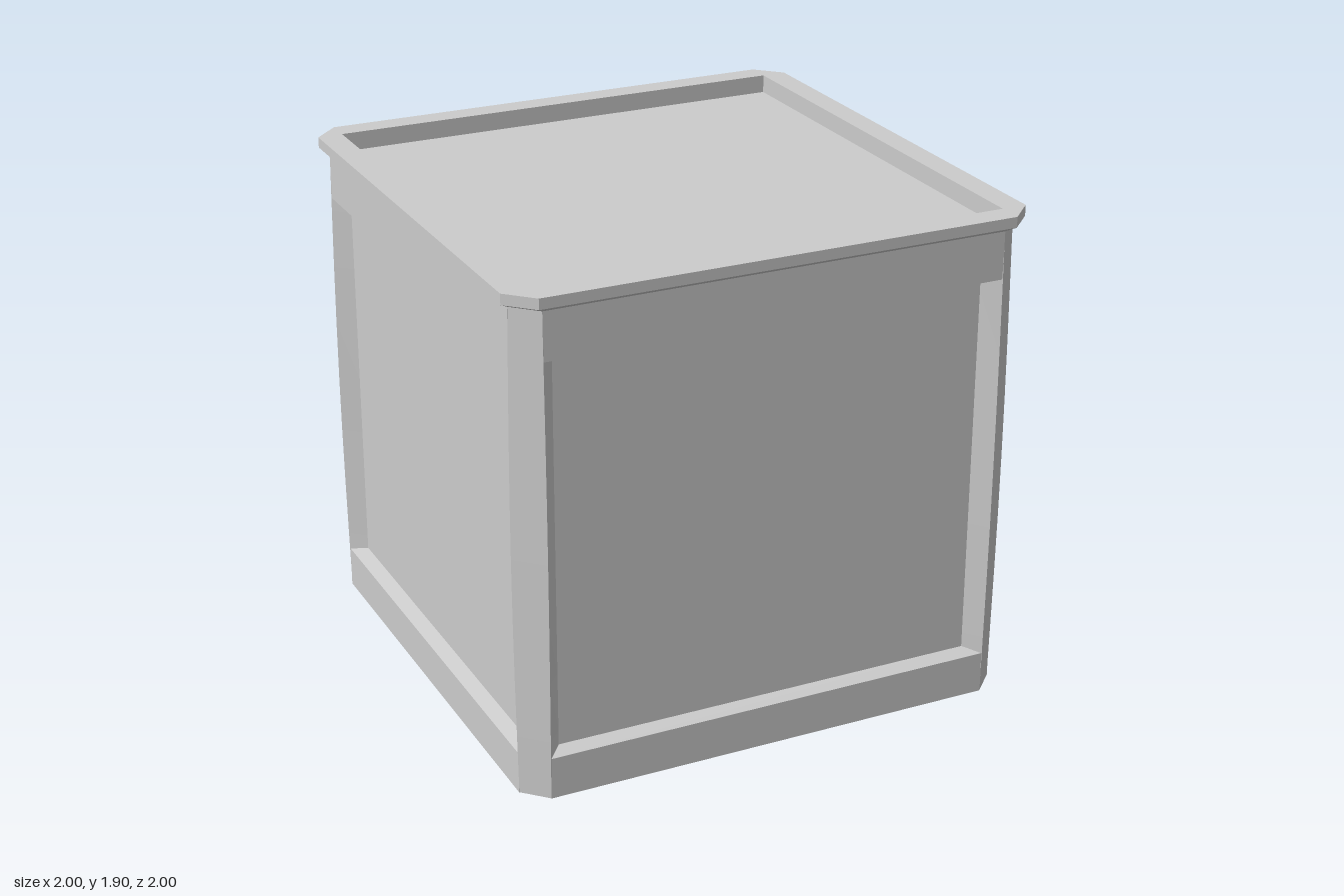
import * as THREE from 'three';

const material = new THREE.MeshStandardMaterial({ color: 0xcccccc, flatShading: true });

const OUTER = 0.967;  // face of the frame
const INNER = 0.91;   // face of the recessed panels
const EDGE = 0.88;    // where the corner chamfers begin
const FRAME_TOP = 1.84;
const FLOOR = 1.83;   // sunken top panel

function part(name, geometry) {
  const mesh = new THREE.Mesh(geometry, material);
  mesh.name = name;
  return mesh;
}

function extrude(points, depth, steps = 1) {
  const shape = new THREE.Shape(points.map(([x, y]) => new THREE.Vector2(x, y)));
  return new THREE.ExtrudeGeometry(shape, { depth, steps, bevelEnabled: false });
}

// Horizontal rail on the +x side, profile given as depth and height
function railGeometry(outerLow, outerHigh, innerLow, innerHigh) {
  return extrude([
    [INNER, innerLow], [OUTER, outerLow], [OUTER, outerHigh], [INNER, innerHigh],
  ], EDGE * 2).translate(0, 0, -EDGE);
}

// Chamfered corner post, its outer edges swelling slightly at mid height
function postGeometry() {
  const g = extrude([
    [EDGE, 0.966], [0.825, INNER], [INNER, INNER], [INNER, 0.825], [0.966, EDGE],
  ], FRAME_TOP, 8).rotateX(-Math.PI / 2);
  const p = g.attributes.position;
  for (let i = 0; i < p.count; i++) {
    const swell = 0.01 * Math.sin(Math.PI * p.getY(i) / FRAME_TOP);
    if (p.getX(i) > 0.95) p.setX(i, p.getX(i) + swell);
    if (p.getZ(i) < -0.95) p.setZ(i, p.getZ(i) - swell);
  }
  g.computeVertexNormals();
  return g;
}

// Lid rim: chamfered square sections [half width, chamfer start, height]
function rimGeometry() {
  const sections = [
    [OUTER, EDGE, FRAME_TOP], [1, 0.905, 1.86], [1, 0.905, 1.9],
    [0.905, 0.905, 1.9], [0.905, 0.905, FLOOR],
  ];
  const positions = [];
  const indices = [];
  for (const [h, c, y] of sections) {
    for (const [x, z] of [[h, c], [h, -c], [c, -h], [-c, -h], [-h, -c], [-h, c], [-c, h], [c, h]]) {
      positions.push(x, y, z);
    }
  }
  for (let s = 0; s < sections.length - 1; s++) {
    for (let i = 0; i < 8; i++) {
      const a = s * 8 + i;
      const b = s * 8 + (i + 1) % 8;
      indices.push(a, b, b + 8, a, b + 8, a + 8);
    }
  }
  const g = new THREE.BufferGeometry();
  g.setAttribute('position', new THREE.Float32BufferAttribute(positions, 3));
  g.setIndex(indices);
  const flat = g.toNonIndexed();
  flat.computeVertexNormals();
  return flat;
}

export function createModel() {
  const model = new THREE.Group();
  model.name = 'crate';

  // Core: its sides are the recessed panels, its top the tray floor
  const core = part('panels', new THREE.BoxGeometry(INNER * 2, FLOOR, INNER * 2));
  core.position.y = FLOOR / 2;
  model.add(core);

  // Four identical sides, each with two rails and one corner post
  const bottomRail = railGeometry(0, 0.16, 0, 0.175);
  const topRail = railGeometry(1.66, FRAME_TOP, 1.648, FRAME_TOP);
  const post = postGeometry();
  for (let i = 0; i < 4; i++) {
    const side = new THREE.Group();
    side.name = 'sideFrame';
    side.rotation.y = i * Math.PI / 2;
    side.add(part('bottomRail', bottomRail), part('topRail', topRail), part('cornerPost', post));
    model.add(side);
  }

  model.add(part('lidRim', rimGeometry()));
  return model;
}
